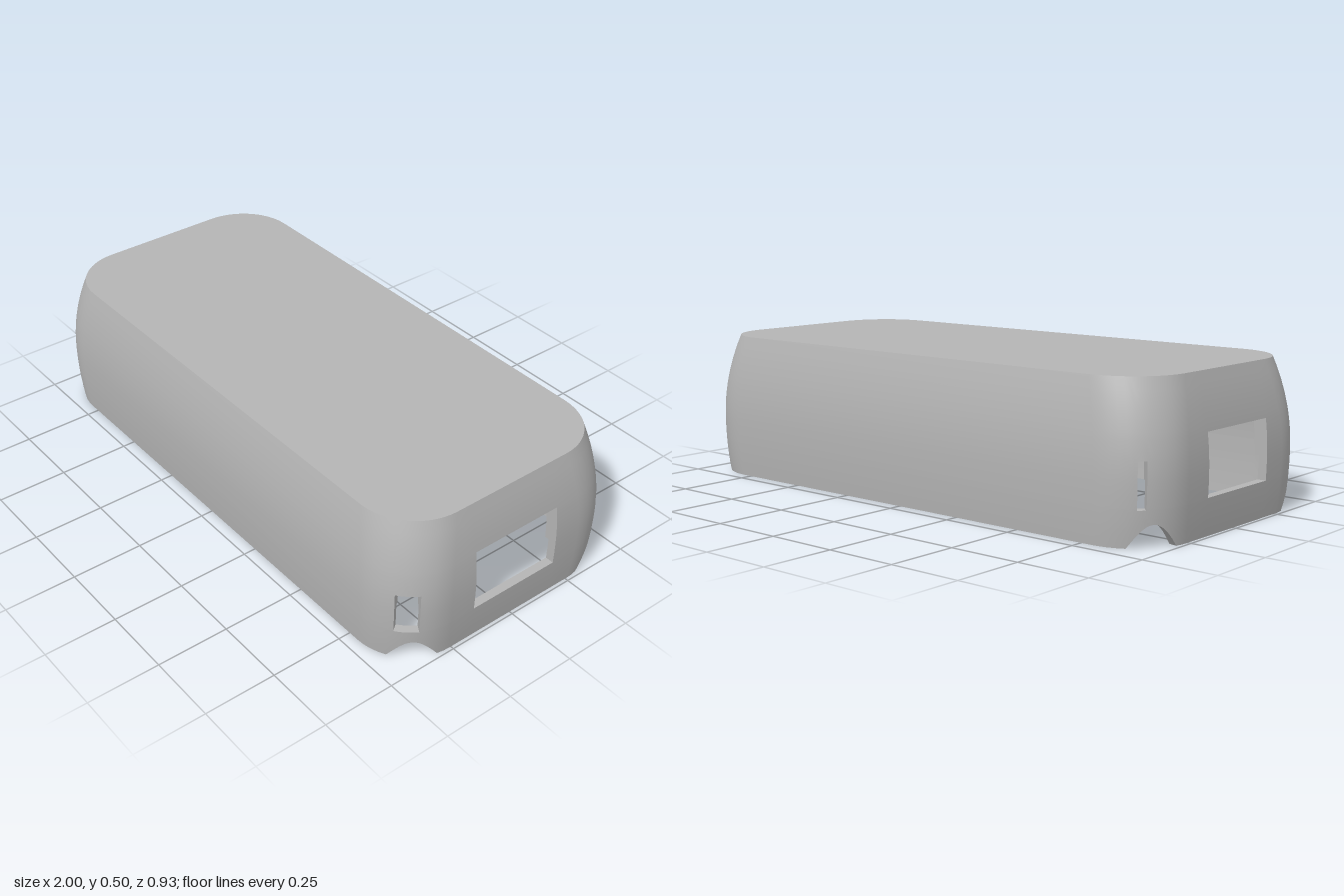
import * as THREE from 'three';
import { toCreasedNormals } from 'three/addons/utils/BufferGeometryUtils.js';

const R = 0.2, TOP = 0.5, CEILING = 0.46, LEDGE = 0.2, NOTCH_TOP = 0.117;
const THIN = 0.03, THICK = 0.045; // wall thickness below and above the inner ledge

// Rows from bottom to top; the doubled row carries the inner ledge.
const rows = [0, 0.04, 0.08, NOTCH_TOP, 0.122, 0.16, LEDGE, LEDGE, 0.23, 0.262, 0.29, 0.322, 0.342, 0.38, 0.42, CEILING, TOP];
const ledgeRow = rows.lastIndexOf(LEDGE);

// Samples around the rounded rectangle, corner by corner.
const angles = [0, 6, 13, 18, 23, 27, 31, 34, 37, 40, 43, 47, 51, 53.5, 56, 59, 66, 74, 82, 90];
const corners = [
  { sx: 1, sz: 1, slot: [31, 53.5] },
  { sx: -1, sz: 1, slot: [43, 51] },
  { sx: -1, sz: -1, slot: [43, 51] },
  { sx: 1, sz: -1, slot: [37, 53.5] },
];
const windows = { '-1': { z: [0.175, -0.16], y: [0.122, 0.322] }, '1': { z: [-0.167, 0.173], y: [0.122, 0.342] } };
const samples = [];
corners.forEach((corner, k) => {
  const list = k % 2 ? [...angles].reverse() : angles;
  list.forEach((a) => samples.push({ corner, a, sx: corner.sx, sz: corner.sz }));
  if (k % 2) windows[corner.sx].z.forEach((z) => samples.push({ z, sx: corner.sx, window: windows[corner.sx] }));
});

// Point on the outer (inner = false) or inner wall at sample s, row j.
function point(s, j, inner) {
  let y = rows[j];
  if (s.corner && y < NOTCH_TOP) { // arched notch under each corner
    const k = (s.a - 36) / 23;
    const b = Math.abs(k) < 1 ? 0.073 * Math.cos(k * Math.PI / 2) : 0;
    y = b + (NOTCH_TOP - b) * y / NOTCH_TOP;
  }
  const t = inner ? (j < ledgeRow ? THIN : THICK) : 0;
  if (inner) y = Math.min(y, CEILING);
  const d = y > 0.2 ? ((y - 0.2) / 0.3) ** 2 : ((0.2 - y) / 0.2) ** 2; // bulging profile
  const hx = 1 - d * (y > 0.2 ? 0.05 : 0.012), hz = 0.467 - d * (y > 0.2 ? 0.042 : 0.01);
  if (s.window) return new THREE.Vector3(s.sx * (hx - t), y, s.z);
  const a = THREE.MathUtils.degToRad(s.a), r = R - t;
  return new THREE.Vector3(s.sx * (hx - R + r * Math.cos(a)), y, s.sz * (hz - R + r * Math.sin(a)));
}

const within = (v, [a, b]) => v >= a - 1e-6 && v <= b + 1e-6;

function isSolid(i, j) {
  if (j < 0) return false;
  const n = samples.length, s = samples[(i + n) % n], e = samples[(i + 1 + n) % n];
  const rowIn = (range) => within(rows[j], range) && within(rows[j + 1], range);
  if (s.window && e.window) return !rowIn(s.window.y);
  if (s.corner && s.corner === e.corner)
    return !(within(s.a, s.corner.slot) && within(e.a, s.corner.slot) && rowIn([NOTCH_TOP, 0.262]));
  return true;
}

function shellGeometry() {
  const pos = [], n = samples.length, last = rows.length - 2;
  const tri = (a, b, c) => {
    const area = b.clone().sub(a).cross(c.clone().sub(a)).length();
    if (area > 1e-9) for (const p of [a, b, c]) pos.push(p.x, p.y, p.z);
  };
  const quad = (a, b, c, d) => { tri(a, b, c); tri(a, c, d); };
  for (let i = 0; i < n; i++) {
    const s = samples[i], e = samples[(i + 1) % n];
    for (let j = 0; j <= last; j++) {
      if (!isSolid(i, j)) continue;
      const ring = (inner) => [point(s, j, inner), point(s, j + 1, inner), point(e, j + 1, inner), point(e, j, inner)];
      const o = ring(false), q = ring(true);
      quad(...o);
      quad(q[3], q[2], q[1], q[0]);
      // Reveals of openings and the bottom rim
      const open = [!isSolid(i - 1, j), j < last && !isSolid(i, j + 1), !isSolid(i + 1, j), !isSolid(i, j - 1)];
      open.forEach((gap, k) => {
        const m = (k + 1) % 4;
        if (gap) quad(o[m], o[k], q[k], q[m]);
      });
      // Flat lid and ceiling
      if (j === last) {
        tri(o[2], o[1], new THREE.Vector3(0, TOP, 0));
        tri(q[1], q[2], new THREE.Vector3(0, CEILING, 0));
      }
    }
  }
  const g = new THREE.BufferGeometry();
  g.setAttribute('position', new THREE.Float32BufferAttribute(pos, 3));
  return toCreasedNormals(g, 0.42);
}

export function createModel() {
  const grey = new THREE.MeshStandardMaterial({ color: 0xb4b4b4 });
  grey.name = 'grey';
  const shell = new THREE.Mesh(shellGeometry(), grey);
  shell.name = 'enclosureShell';
  const group = new THREE.Group();
  group.name = 'enclosureCover';
  group.add(shell);
  return group;
}
